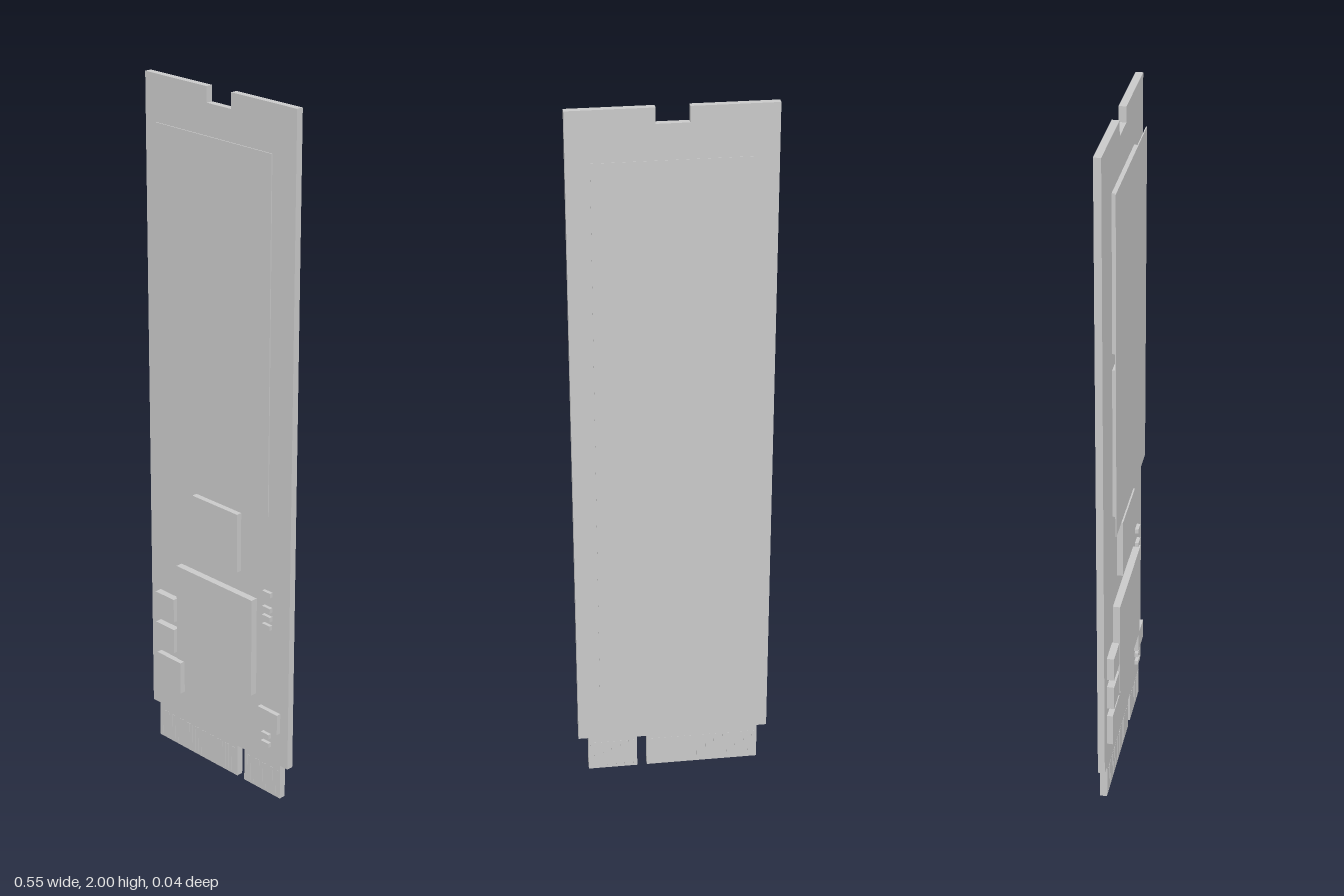
import * as THREE from 'three';

const BACK = -0.0215, FACE = -0.0015; // circuit board surfaces

export function createModel() {
  const model = new THREE.Group();
  model.name = 'solidStateDrive';
  const grey = new THREE.MeshStandardMaterial({ color: 0xc9c9c9 });
  grey.name = 'light grey';

  // Box given by its bounds
  function block(name, x0, x1, y0, y1, z0, z1, parent = model) {
    const mesh = new THREE.Mesh(new THREE.BoxGeometry(x1 - x0, y1 - y0, z1 - z0), grey);
    mesh.position.set((x0 + x1) / 2, (y0 + y1) / 2, (z0 + z1) / 2);
    mesh.name = name;
    parent.add(mesh);
  }
  const chip = (name, x0, x1, y0, y1, top) => block(name, x0, x1, y0, y1, FACE, top);

  // Board outline with screw notch, stepped edge connector and key slot
  const outline = new THREE.Shape([
    [-0.247, 0], [0.077, 0], [0.077, 0.1], [0.105, 0.1], [0.105, 0], [0.247, 0],
    [0.247, 0.108], [0.275, 0.108], [0.275, 2], [0.044, 2], [0.044, 1.957],
    [-0.044, 1.957], [-0.044, 2], [-0.275, 2], [-0.275, 0.108], [-0.247, 0.108],
  ].map(([x, y]) => new THREE.Vector2(x, y)));
  const board = new THREE.Mesh(
    new THREE.ExtrudeGeometry(outline, { depth: FACE - BACK, bevelEnabled: false }), grey);
  board.position.z = BACK;
  board.name = 'circuitBoard';
  model.add(board);

  // Memory chips and the labels
  chip('upperMemoryChip', -0.15, 0.15, 1.4, 1.852, 0.018);
  chip('lowerMemoryChip', -0.15, 0.15, 0.9, 1.352, 0.018);
  block('frontLabel', -0.212, 0.211, 0.878, 1.878, 0.018, 0.021);
  block('backLabel', -0.212, 0.211, 0.26, 1.86, BACK - 0.001, BACK);

  // Controller, cache and power parts
  chip('controllerChip', -0.15, 0.15, 0.303, 0.602, 0.019);
  chip('cacheChip', -0.088, 0.088, 0.665, 0.841, 0.015);
  chip('upperInductor', -0.239, -0.163, 0.415, 0.488, 0.019);
  chip('lowerInductor', -0.239, -0.163, 0.315, 0.39, 0.019);
  chip('powerChip', -0.239, -0.141, 0.188, 0.288, 0.015);
  chip('regulatorChip', 0.169, 0.245, 0.213, 0.275, 0.012);

  // Tiny resistors
  for (const y of [0.635, 0.588, 0.561, 0.534, 0.189, 0.161]) {
    chip('resistor', 0.18, 0.21, y - 0.007, y + 0.007, 0.009);
  }

  // Contact fingers on both sides of the edge connector
  const contacts = new THREE.Group();
  contacts.name = 'edgeContacts';
  model.add(contacts);
  for (let i = 0; i < 39; i++) {
    const x = -0.2375 + i * 0.0125;
    if (x > 0.068 && x < 0.112) continue;
    block('frontContact', x - 0.0044, x + 0.0044, 0.008, 0.09, FACE, FACE + 0.0005, contacts);
    block('backContact', x - 0.0044, x + 0.0044, 0.008, 0.09, BACK - 0.0005, BACK, contacts);
  }
  return model;
}
